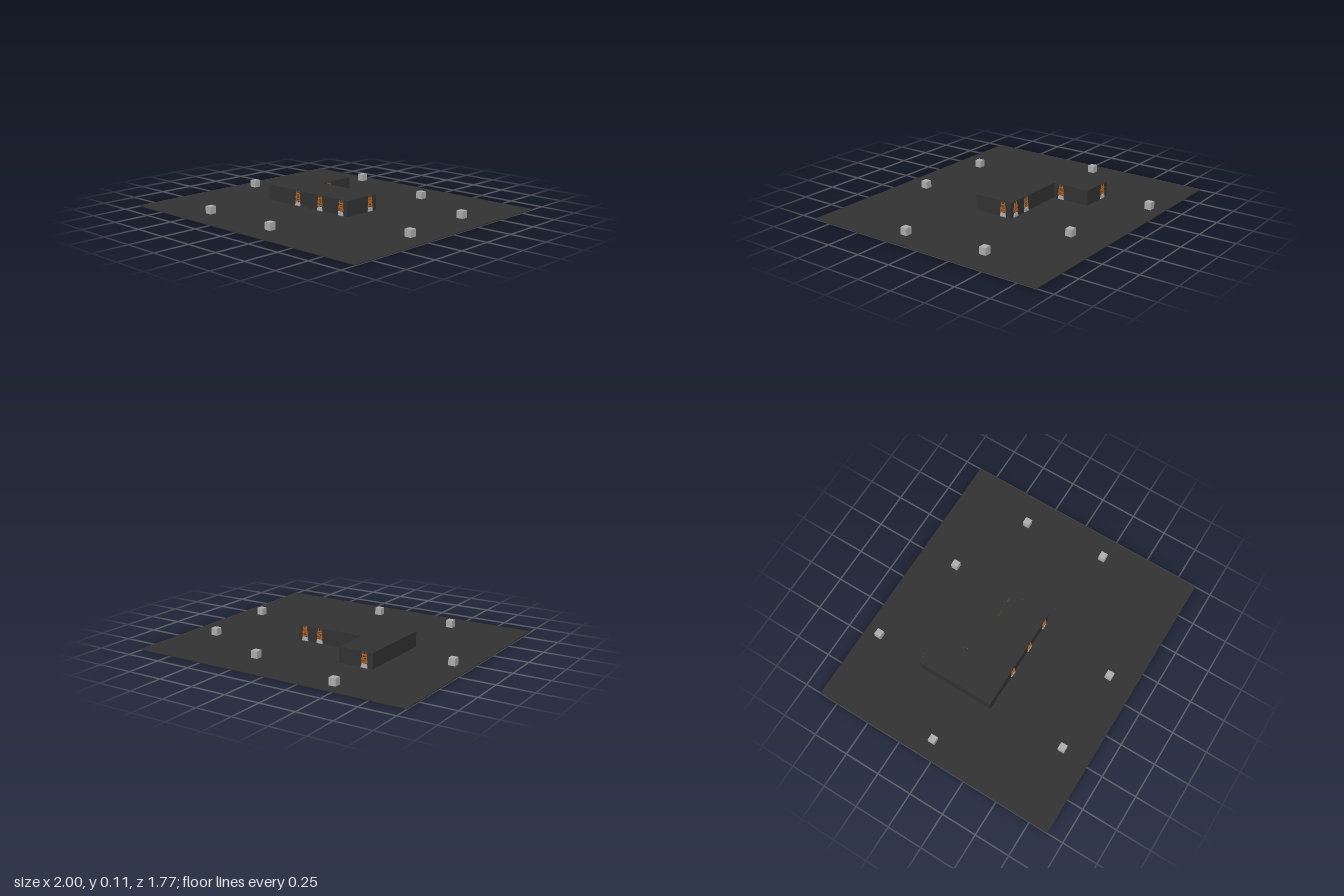
import * as THREE from 'three';

const mat = (name, color) => {
  const m = new THREE.MeshStandardMaterial({ color });
  m.name = name;
  return m;
};

export function createModel() {
  const ground = mat('ground charcoal', 0x333333);
  const wallMat = mat('wall charcoal', 0x333333);
  const wood = mat('plank orange', 0xb8621f);
  const stone = mat('block grey', 0xb0b0b0);

  const model = new THREE.Group();
  model.name = 'barricadedHouse';

  const box = (parent, name, material, [w, h, d], [x, y, z], tilt = 0) => {
    const mesh = new THREE.Mesh(new THREE.BoxGeometry(w, h, d), material);
    mesh.name = name;
    mesh.position.set(x, y, z);
    mesh.rotation.z = tilt;
    parent.add(mesh);
  };

  // Flat yard
  box(model, 'ground', ground, [2, 0.005, 1.77], [0, 0.0025, 0]);

  // Blocks scattered around the yard
  const spots = [[-0.45, -0.78], [0.255, -0.615], [0.797, -0.36], [0.848, 0.227],
    [0.115, 0.70], [-0.477, 0.686], [-0.875, -0.065]];
  for (const [x, z] of spots) box(model, 'yardBlock', stone, [0.048, 0.05, 0.048], [x, 0.03, z]);

  // L-shaped roof slab
  const outline = [[-0.497, 0.14], [0.247, 0.14], [0.247, -0.145],
    [-0.25, -0.145], [-0.25, -0.417], [-0.497, -0.417]];
  const roofShape = new THREE.Shape(outline.map(([x, z]) => new THREE.Vector2(x, -z)));
  const roofGeo = new THREE.ExtrudeGeometry(roofShape, { depth: 0.006, bevelEnabled: false });
  roofGeo.rotateX(-Math.PI / 2);
  const roof = new THREE.Mesh(roofGeo, wallMat);
  roof.name = 'roof';
  roof.position.y = 0.106;
  model.add(roof);

  // Boarded window: stacked stones below, tilted planks above
  const planks = [[0.043, 0.043, 0.12], [0.042, 0.058, -0.2], [0.038, 0.073, 0.22], [0.034, 0.089, -0.12]];
  function boardedWindow(u) {
    const g = new THREE.Group();
    g.name = 'boardedWindow';
    g.position.x = u;
    [0.046, 0.042, 0.038].forEach((w, i) =>
      box(g, 'sillStone', stone, [w, 0.008, 0.012], [0, 0.010 + i * 0.0095, 0.001]));
    for (const [w, y, tilt] of planks) box(g, 'plank', wood, [w, 0.007, 0.005], [0, y, 0.003], tilt);
    for (const s of [-1, 1]) box(g, 'upright', wood, [0.005, 0.074, 0.005], [s * 0.014, 0.072, 0.001], s * 0.1);
    return g;
  }

  // Wall panels run along local +x and face local +z
  const openings = [[0.287, 0.497, 0.689], [0.222], [0.05, 0.167], [0.06], [0.187], []];
  outline.forEach(([x, z], i) => {
    const [x2, z2] = outline[(i + 1) % outline.length];
    const length = Math.hypot(x2 - x, z2 - z);
    const shape = new THREE.Shape([[0, 0.005], [length, 0.005], [length, 0.106], [0, 0.106]]
      .map(p => new THREE.Vector2(...p)));
    for (const u of openings[i]) {
      shape.holes.push(new THREE.Path([[-0.023, 0.034], [-0.02, 0.103], [0.02, 0.103], [0.023, 0.034]]
        .map(([a, b]) => new THREE.Vector2(u + a, b))));
    }
    const geo = new THREE.ExtrudeGeometry(shape, { depth: 0.008, bevelEnabled: false });
    geo.translate(0, 0, -0.008);
    const wall = new THREE.Group();
    wall.name = 'wall';
    const panel = new THREE.Mesh(geo, wallMat);
    panel.name = 'wallPanel';
    wall.add(panel);
    for (const u of openings[i]) wall.add(boardedWindow(u));
    wall.position.set(x, 0, z);
    wall.rotation.y = Math.atan2(-(z2 - z), x2 - x);
    model.add(wall);
  });

  return model;
}
